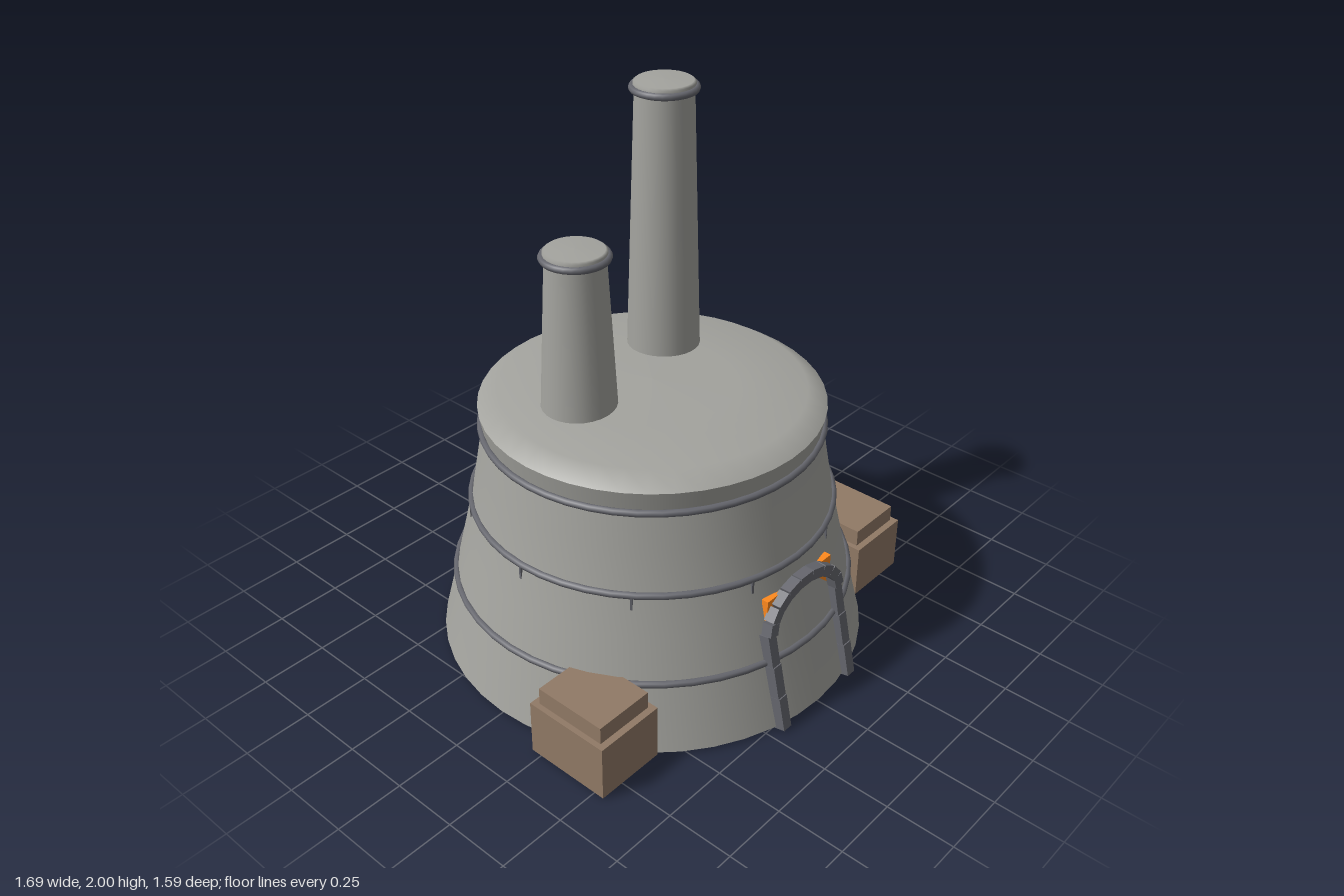
import * as THREE from 'three';

const mat = (color) => new THREE.MeshStandardMaterial({ color });
const stone = mat(0xa3a39e), iron = mat(0x66676e), brick = mat(0x917a66), glow = mat(0xff8a1e);

// Wall profile: radius and height, bottom to top
const WALL = [[0.79, 0.01], [0.762, 0.12], [0.728, 0.26], [0.69, 0.42], [0.655, 0.575], [0.625, 0.74], [0.603, 0.88]];

function wallRadius(y) {
  for (let i = 1; i < WALL.length; i++) {
    const [r0, y0] = WALL[i - 1], [r1, y1] = WALL[i];
    if (y <= y1) return r0 + (r1 - r0) * (y - y0) / (y1 - y0);
  }
  return WALL[WALL.length - 1][0];
}

function add(parent, name, geometry, material, x = 0, y = 0, z = 0) {
  const mesh = new THREE.Mesh(geometry, material);
  mesh.name = name;
  mesh.position.set(x, y, z);
  parent.add(mesh);
  return mesh;
}

// A repeated point in a profile makes a sharp edge
const lathe = (points, segments) =>
  new THREE.LatheGeometry(points.map(([r, y]) => new THREE.Vector2(r, y)), segments);

const ring = (radius, tube, segments) =>
  new THREE.TorusGeometry(radius, tube, 8, segments).rotateX(Math.PI / 2);

// Square bar between two points, its depth facing +z
function addBar(parent, name, a, b, width, depth) {
  const dir = b.clone().sub(a);
  const bar = add(parent, name, new THREE.BoxGeometry(width, dir.length(), depth), iron);
  bar.position.copy(a).add(b).multiplyScalar(0.5);
  const up = dir.normalize();
  const side = new THREE.Vector3().crossVectors(up, new THREE.Vector3(0, 0, 1)).normalize();
  const out = new THREE.Vector3().crossVectors(side, up);
  bar.quaternion.setFromRotationMatrix(new THREE.Matrix4().makeBasis(side, up, out));
}

function addChimney(parent, name, x, z, top) {
  const g = new THREE.Group();
  g.name = name;
  g.position.set(x, 0, z);
  add(g, 'stack', lathe([[0.135, 0.97], [0.104, top - 0.04], [0.108, top - 0.03],
    [0.108, top - 0.008], [0.1, top - 0.002], [0, top]], 28), stone);
  add(g, 'rim', ring(0.11, 0.013, 28), iron, 0, top - 0.028, 0);
  parent.add(g);
}

export function createModel() {
  const model = new THREE.Group();
  model.name = 'furnace';

  // Tapered body with flared lip and shallow domed roof
  add(model, 'body', lathe([[0, 0.01], [0.79, 0.01], ...WALL, [0.603, 0.88],
    [0.616, 0.95], [0.616, 0.95], [0.545, 0.997], [0.3, 1.006], [0, 1.015]], 44), stone);

  // Iron hoops
  for (const [r, y] of [[0.73, 0.26], [0.657, 0.575], [0.608, 0.87]])
    add(model, 'hoop', ring(r, 0.013, 48), iron, 0, y, 0);

  // Small pegs under the middle hoop
  for (let i = 0; i < 10; i++) {
    const a = (i + 0.5) * Math.PI / 5;
    const peg = add(model, 'peg', new THREE.BoxGeometry(0.008, 0.05, 0.012), iron,
      0.662 * Math.sin(a), 0.548, 0.662 * Math.cos(a));
    peg.rotation.y = a;
  }

  addChimney(model, 'tallChimney', 0.25, -0.17, 2.0);
  addChimney(model, 'shortChimney', -0.275, -0.088, 1.585);

  // Side plinths with inset caps
  for (const s of [1, -1]) {
    const plinth = new THREE.Group();
    plinth.name = s > 0 ? 'leftPlinth' : 'rightPlinth';
    add(plinth, 'block', new THREE.BoxGeometry(0.267, 0.21, 0.33), brick, s * 0.711, 0.11, 0.377);
    add(plinth, 'cap', new THREE.BoxGeometry(0.227, 0.07, 0.28), brick, s * 0.711, 0.245, 0.377);
    model.add(plinth);
  }

  // Glowing panel set into the wall
  add(model, 'firePanel', new THREE.BoxGeometry(0.355, 0.488, 0.026), glow, 0, 0.246, 0.665);

  // Door frame: posts following the wall, and an arch of blocks
  const frame = new THREE.Group();
  frame.name = 'doorFrame';
  const onWall = (x, y, lift) =>
    new THREE.Vector3(x, y, Math.sqrt(wallRadius(Math.max(y, 0.01)) ** 2 - x * x) + lift);
  const heights = [0.005, 0.13, 0.25, 0.37];
  for (const x of [0.188, -0.188])
    for (let i = 1; i < heights.length; i++)
      addBar(frame, 'post', onWall(x, heights[i - 1], 0.008), onWall(x, heights[i], 0.012), 0.04, 0.045);
  const blocks = 9;
  const archPoint = (i) => {
    const a = Math.PI * i / blocks;
    return new THREE.Vector3(0.188 * Math.cos(a), 0.37 + 0.13 * Math.sin(a), 0.7 - 0.012 * Math.sin(a));
  };
  for (let i = 0; i < blocks; i++)
    addBar(frame, 'archBlock', archPoint(i), archPoint(i + 1), 0.042, 0.04);
  model.add(frame);

  return model;
}
